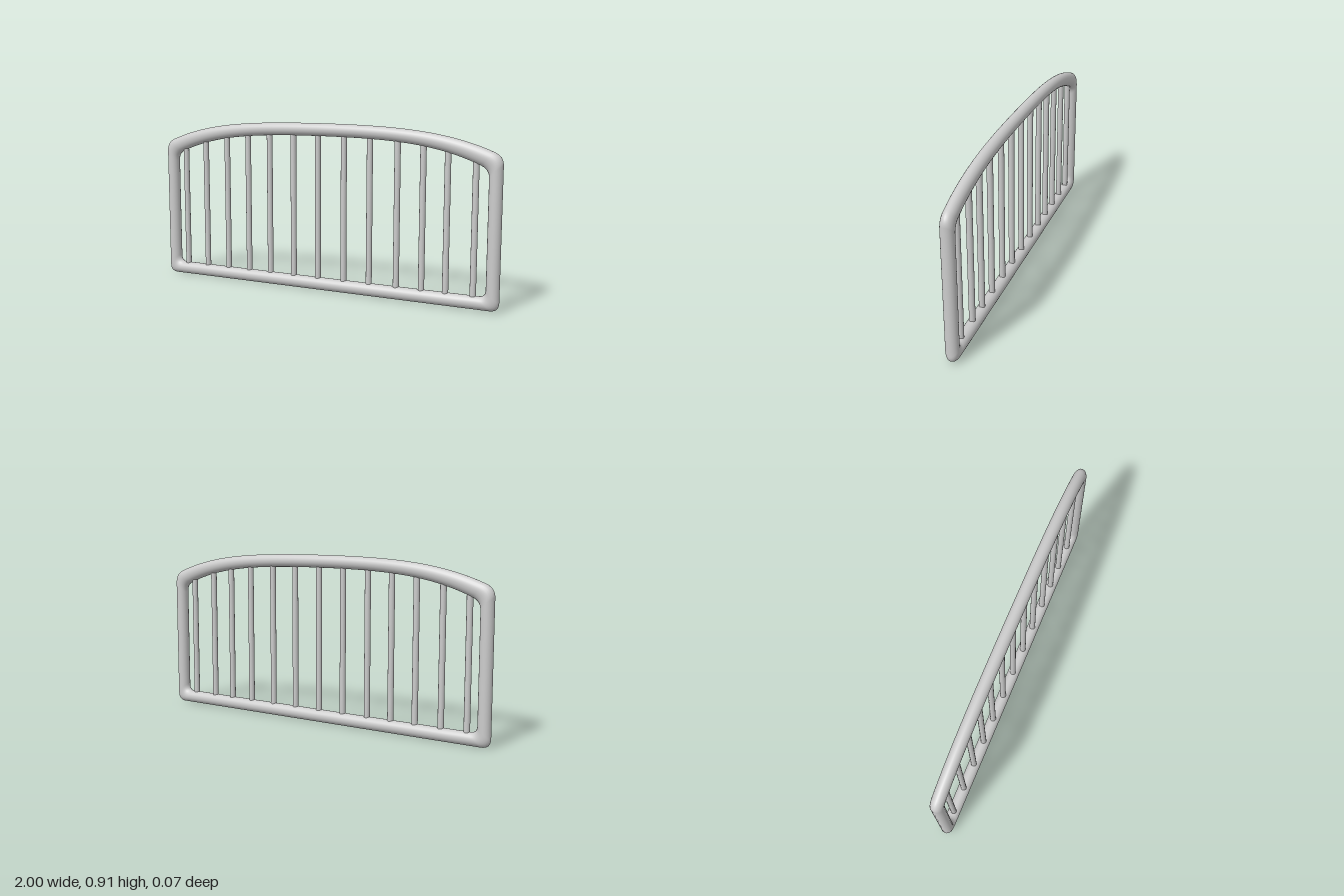
import * as THREE from 'three';

const HALF = 0.966;  // side post centre line
const R = 0.034;     // rail radius
const archY = (x) => 0.876 - 0.045 * x * x - 0.105 * x ** 4;
const baseY = (x) => 0.0375 + 0.0035 * x;

// Closed outline of the frame, offset by d from its centre line, with filleted corners
function outline(d, fillet) {
  const w = HALF + d;
  const top = (x) => archY(x * HALF / w) + d;
  const base = (x) => baseY(x) - d;
  const pts = [];
  const run = (n, f) => { for (let i = 0; i < n; i++) pts.push(f(i / n)); };
  const corner = (a, b, c) => {
    const curve = new THREE.QuadraticBezierCurve(a, b, c);
    run(8, (t) => curve.getPoint(t));
  };
  const v = (x, y) => new THREE.Vector2(x, y);
  const e = w - fillet;
  const side = (x, y0, y1) => run(6, (t) => v(x, y0 + (y1 - y0) * t));

  run(12, (t) => v(-e + 2 * e * t, base(-e + 2 * e * t)));
  corner(v(e, base(e)), v(w, base(w)), v(w, base(w) + fillet));
  side(w, base(w) + fillet, top(w) - fillet);
  corner(v(w, top(w) - fillet), v(w, top(w)), v(e, top(e)));
  run(48, (t) => v(e - 2 * e * t, top(e - 2 * e * t)));
  corner(v(-e, top(-e)), v(-w, top(-w)), v(-w, top(-w) - fillet));
  side(-w, top(-w) - fillet, base(-w) + fillet);
  corner(v(-w, base(-w) + fillet), v(-w, base(-w)), v(-e, base(-e)));
  return pts;
}

// Round rail spanning the inner and outer outlines
function frameGeometry() {
  const outer = outline(R, 0.045), inner = outline(-R, 0.04);
  const n = outer.length, m = 24;
  const pos = [], index = [];
  for (let i = 0; i < n; i++) {
    for (let j = 0; j < m; j++) {
      const a = (j / m) * Math.PI * 2;
      const p = inner[i].clone().lerp(outer[i], 0.5 + 0.5 * Math.cos(a));
      pos.push(p.x, p.y, R * Math.sin(a));
      const i2 = (i + 1) % n, j2 = (j + 1) % m;
      const A = i * m + j, B = i2 * m + j, C = i2 * m + j2, D = i * m + j2;
      index.push(A, B, C, A, C, D);
    }
  }
  const g = new THREE.BufferGeometry();
  g.setAttribute('position', new THREE.Float32BufferAttribute(pos, 3));
  g.setIndex(index);
  g.computeVertexNormals();
  return g;
}

export function createModel() {
  const model = new THREE.Group();
  model.name = 'archedRailing';
  const material = new THREE.MeshStandardMaterial({ color: 0xcccccc });

  const frame = new THREE.Mesh(frameGeometry(), material);
  frame.name = 'frame';
  model.add(frame);

  // Upright bars, ends buried in the rails
  const bars = new THREE.Group();
  bars.name = 'bars';
  const xs = [-0.875, -0.735, -0.59, -0.45, -0.31, -0.16, -0.01, 0.145, 0.295, 0.45, 0.59, 0.72, 0.865];
  xs.forEach((x, i) => {
    const y0 = baseY(x), y1 = archY(x);
    const bar = new THREE.Mesh(new THREE.CylinderGeometry(0.016, 0.016, y1 - y0, 16), material);
    bar.position.set(x, (y0 + y1) / 2, 0);
    bar.name = `bar${i + 1}`;
    bars.add(bar);
  });
  model.add(bars);
  return model;
}
